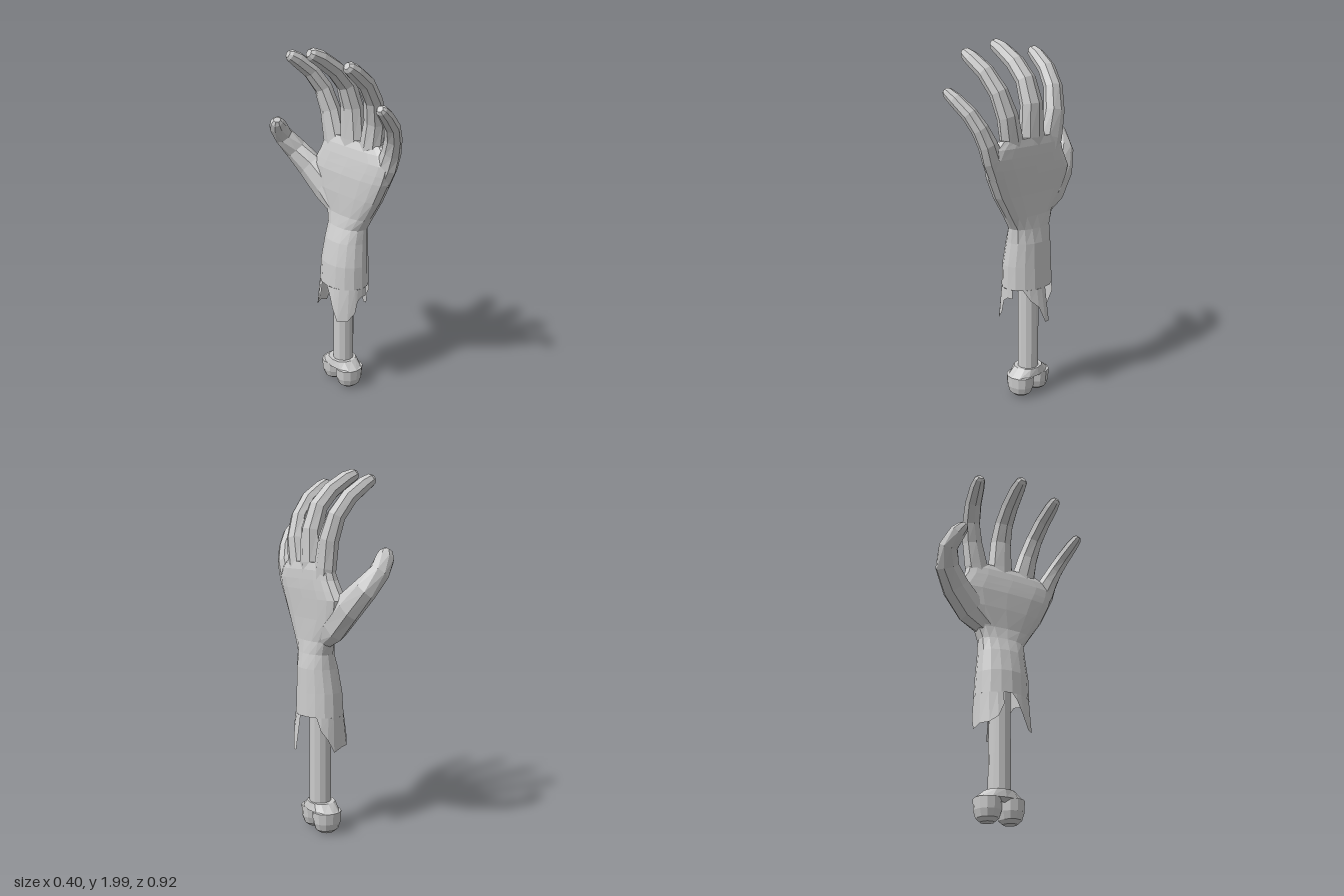
import * as THREE from 'three';

const V = (x, y, z) => new THREE.Vector3(x, y, z);
const material = new THREE.MeshStandardMaterial({ color: 0xcccccc, flatShading: true });
const thinMaterial = material.clone();
thinMaterial.side = THREE.DoubleSide;

// Closed ring of points around a centre, square to the tangent; power < 1 makes it boxier
function ring(center, tangent, ref, rs, rn, sides, power = 1) {
  const t = tangent.clone().normalize();
  const s = ref.clone().addScaledVector(t, -ref.dot(t)).normalize();
  const n = t.clone().cross(s);
  const bend = v => Math.sign(v) * Math.abs(v) ** power;
  return Array.from({ length: sides }, (_, j) => {
    const a = (j / sides) * Math.PI * 2;
    return center.clone().addScaledVector(s, rs * bend(Math.cos(a))).addScaledVector(n, rn * bend(Math.sin(a)));
  });
}

// Skin through rings, optionally closing the last one
function loft(rings, capEnd) {
  const n = rings[0].length, index = [];
  const pts = rings.flat();
  for (let i = 0; i < rings.length - 1; i++) {
    for (let j = 0; j < n; j++) {
      const k = (j + 1) % n, a = i * n + j, b = i * n + k;
      index.push(a, b, b + n, a, b + n, a + n);
    }
  }
  if (capEnd) {
    const last = rings[rings.length - 1], start = (rings.length - 1) * n;
    pts.push(last.reduce((c, p) => c.add(p), V(0, 0, 0)).divideScalar(n));
    for (let j = 0; j < n; j++) index.push(start + j, start + (j + 1) % n, pts.length - 1);
  }
  const g = new THREE.BufferGeometry().setFromPoints(pts);
  g.setIndex(index);
  g.computeVertexNormals();
  return g;
}

// Tapered digit along rows of [x, y, z, radiusAcross, radiusThrough]
function digit(rows, ref) {
  const p = rows.map(r => V(r[0], r[1], r[2]));
  return loft(rows.map((r, i) => {
    const t = p[Math.min(i + 1, p.length - 1)].clone().sub(p[Math.max(i - 1, 0)]);
    return ring(p[i], t, ref, r[3], r[4], 8);
  }), true);
}

export function createModel() {
  const group = new THREE.Group();
  const add = (name, geometry, mat = material) => {
    const m = new THREE.Mesh(geometry, mat);
    m.name = name;
    group.add(m);
    return m;
  };
  const up = V(0, 1, 0), zAxis = V(0, 0, 1);

  // Hollow wrist sleeve flowing into the palm: [y, zMax, zMin, xMin, xMax, power]
  const sections = [
    [0.67, 0.15, -0.165, -0.08, 0.17, 1],
    [0.8, 0.147, -0.158, -0.072, 0.165, 1],
    [0.93, 0.135, -0.143, -0.045, 0.16, 0.95],
    [1.01, 0.135, -0.14, -0.015, 0.145, 0.9],
    [1.08, 0.18, -0.165, 0, 0.135, 0.8],
    [1.2, 0.26, -0.265, 0, 0.135, 0.72],
    [1.31, 0.315, -0.295, 0.005, 0.14, 0.68],
    [1.355, 0.328, -0.265, 0.012, 0.142, 0.64],
    [1.41, 0.338, -0.23, 0.022, 0.142, 0.6],
    [1.46, 0.305, -0.215, 0.035, 0.14, 0.62],
    [1.5, 0.25, -0.195, 0.055, 0.13, 0.65],
  ].map(([y, z1, z0, x0, x1, power]) =>
    ring(V((x0 + x1) / 2, y, (z0 + z1) / 2), up, zAxis, (z1 - z0) / 2, (x1 - x0) / 2, 16, power));
  add('palmAndWrist', loft(sections, true), thinMaterial);

  // Torn hem: [degrees from +z towards +x, bottom height]; repeated angles make a vertical tear
  const hem = [
    [0, 0.62], [14, 0.62], [14, 0.67], [40, 0.67], [55, 0.61], [72, 0.57], [84, 0.48], [94, 0.48], [94, 0.67],
    [120, 0.67], [138, 0.67], [150, 0.6], [166, 0.55], [180, 0.48], [200, 0.5], [222, 0.5], [240, 0.53],
    [252, 0.6], [252, 0.67], [270, 0.67], [280, 0.63], [292, 0.55], [304, 0.48], [326, 0.48], [342, 0.53], [348, 0.6],
  ];
  const hemRing = bottom => hem.map(([deg, y]) => {
    const a = THREE.MathUtils.degToRad(deg), drop = bottom ? 0.67 - y : 0;
    return V(0.045 + (0.125 + drop * 0.15) * Math.sin(a), 0.67 - drop, -0.008 + (0.157 + drop * 0.04) * Math.cos(a));
  });
  add('tornSkin', loft([hemRing(true), hemRing(false)], false), thinMaterial);

  // Four fingers curling towards -x: bend rows are [x, y], then z from base to tip, and a radius scale
  const fingers = [
    ['indexFinger', [[0.085, 1.36], [0.088, 1.48], [0.085, 1.62], [0.055, 1.74], [-0.01, 1.835], [-0.09, 1.9], [-0.13, 1.925], [-0.143, 1.932]], -0.125, -0.247, 0.95],
    ['middleFinger', [[0.085, 1.38], [0.09, 1.5], [0.085, 1.67], [0.045, 1.79], [-0.03, 1.875], [-0.125, 1.94], [-0.178, 1.965], [-0.193, 1.972]], 0.005, 0.005, 1],
    ['ringFinger', [[0.085, 1.36], [0.088, 1.48], [0.085, 1.62], [0.05, 1.74], [-0.02, 1.84], [-0.105, 1.905], [-0.143, 1.93], [-0.156, 1.938]], 0.132, 0.257, 0.92],
    ['littleFinger', [[0.08, 1.32], [0.082, 1.41], [0.08, 1.49], [0.06, 1.57], [0.02, 1.645], [-0.05, 1.715], [-0.09, 1.748], [-0.102, 1.757]], 0.255, 0.44, 0.83],
  ];
  const radii = [0.072, 0.08, 0.067, 0.058, 0.053, 0.046, 0.035, 0.02];
  const depths = [0.05, 0.054, 0.055, 0.051, 0.048, 0.043, 0.034, 0.02];
  for (const [name, bend, z0, z1, scale] of fingers) {
    const y0 = bend[0][1], y1 = bend[7][1];
    add(name, digit(bend.map(([x, y], i) => {
      const u = (y - y0) / (y1 - y0);
      return [x, y, z0 + (z1 - z0) * u, radii[i] * scale, depths[i] * scale];
    }), zAxis));
  }

  // Thumb sweeping out to -z and hooking back
  add('thumb', digit([
    [0.065, 1.07, -0.07, 0.055, 0.05],
    [0.06, 1.175, -0.19, 0.062, 0.1],
    [0.035, 1.28, -0.3, 0.064, 0.09],
    [-0.012, 1.37, -0.377, 0.06, 0.072],
    [-0.08, 1.455, -0.403, 0.056, 0.055],
    [-0.135, 1.525, -0.374, 0.05, 0.045],
    [-0.155, 1.555, -0.35, 0.036, 0.033],
    [-0.16, 1.568, -0.341, 0.02, 0.018],
  ], V(1, 0, 0)));

  // Bone shaft running up inside the sleeve
  const shaft = add('boneShaft', new THREE.CylinderGeometry(0.058, 0.06, 0.87, 12));
  shaft.position.set(0.047, 0.565, -0.017);

  // Shoulder joining the shaft to two rounded knobs with a cleft between them
  const shoulder = (y, rz, rx) => ring(V(0.043, y, -0.021), up, zAxis, rz, rx, 12, 0.9);
  add('boneShoulder', loft([shoulder(0.105, 0.05, 0.05), shoulder(0.125, 0.136, 0.083), shoulder(0.168, 0.082, 0.075)], true));
  const profile = [[0, 0.004], [0.036, 0.007], [0.058, 0.026], [0.07, 0.065], [0.073, 0.126], [0, 0.14]]
    .map(([r, y]) => new THREE.Vector2(r, y));
  for (const side of [1, -1]) {
    const knob = add(side > 0 ? 'boneKnobFront' : 'boneKnobBack', new THREE.LatheGeometry(profile, 12));
    knob.position.set(0.043, 0, -0.021 + side * 0.065);
    knob.scale.x = 1.14;
  }
  return group;
}
